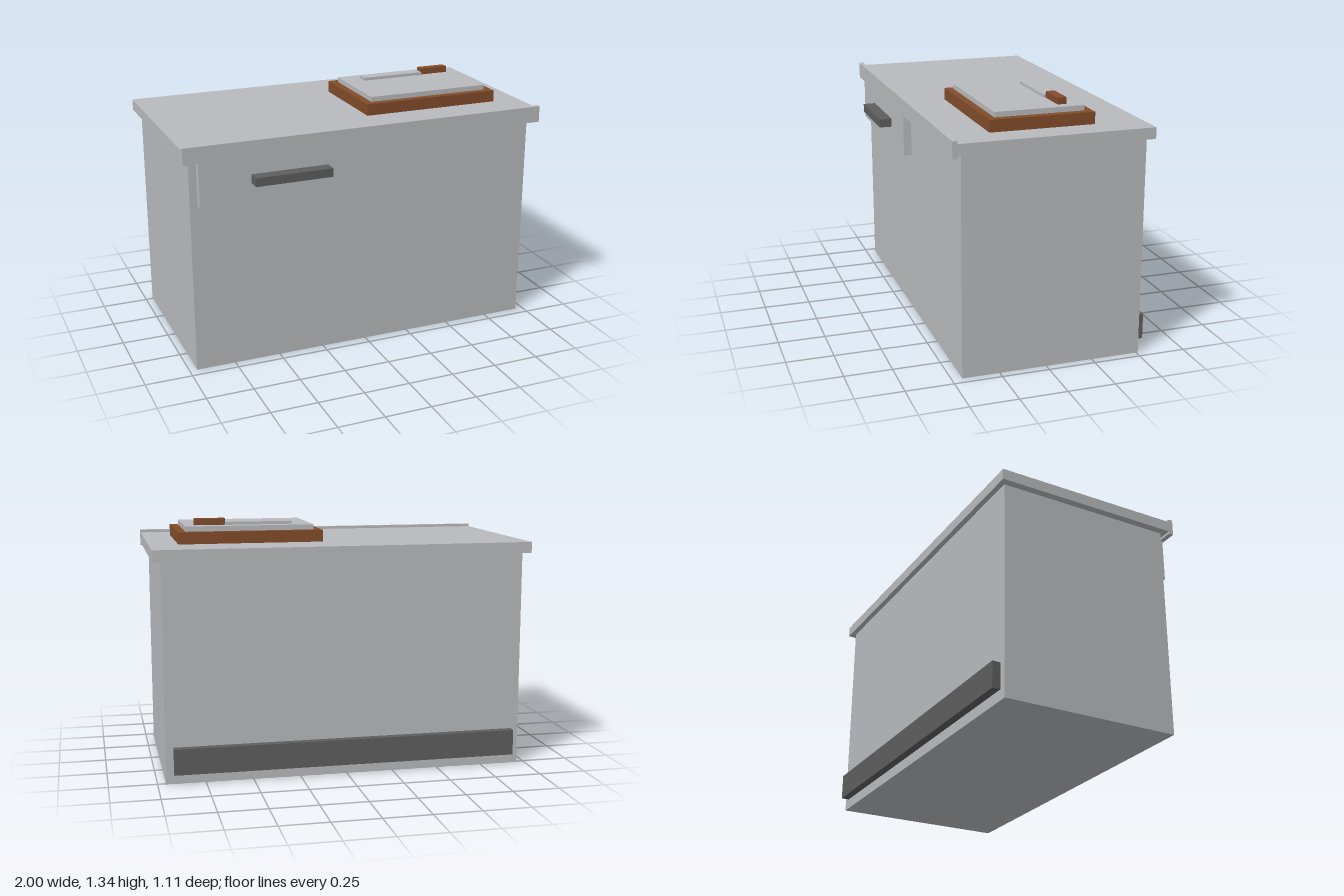
import * as THREE from 'three';

export function createModel() {
  const group = new THREE.Group();
  const material = (name, color) => {
    const m = new THREE.MeshStandardMaterial({ color });
    m.name = name;
    return m;
  };
  const steel = material('steel grey', 0xb8babd);
  const wood = material('wood brown', 0x824c2a);
  const dark = material('dark grey', 0x5e5e5e);

  // Box given by its extents along each axis
  const box = (name, mat, [x0, x1], [y0, y1], [z0, z1]) => {
    const mesh = new THREE.Mesh(new THREE.BoxGeometry(x1 - x0, y1 - y0, z1 - z0), mat);
    mesh.position.set((x0 + x1) / 2, (y0 + y1) / 2, (z0 + z1) / 2);
    mesh.name = name;
    group.add(mesh);
  };

  // Cabinet and worktop with a raised front lip
  box('cabinetBody', steel, [-0.96, 0.957], [0, 1.156], [-0.51, 0.446]);
  box('worktop', steel, [-1, 1], [1.156, 1.215], [-0.539, 0.475]);
  box('frontLip', steel, [-1, 1], [1.142, 1.23], [0.474, 0.5]);

  // Drawer
  box('drawerFront', steel, [-0.92, 0.038], [0.909, 1.156], [0.446, 0.488]);
  box('drawerHandle', dark, [-0.648, -0.235], [1.005, 1.051], [0.488, 0.556]);

  // Low rail along the back
  box('backRail', dark, [-0.92, 0.915], [0.056, 0.193], [-0.553, -0.51]);

  // Cutting board with its inset plate
  box('cuttingBoard', wood, [0.08, 0.846], [1.215, 1.277], [-0.28, 0.268]);
  box('boardPlate', steel, [0.121, 0.803], [1.277, 1.304], [-0.239, 0.228]);

  // Knife lying on the plate
  box('knifeBlade', steel, [0.23, 0.586], [1.304, 1.32], [-0.176, -0.109]);
  box('knifeHandle', wood, [0.586, 0.75], [1.304, 1.338], [-0.166, -0.119]);

  return group;
}
